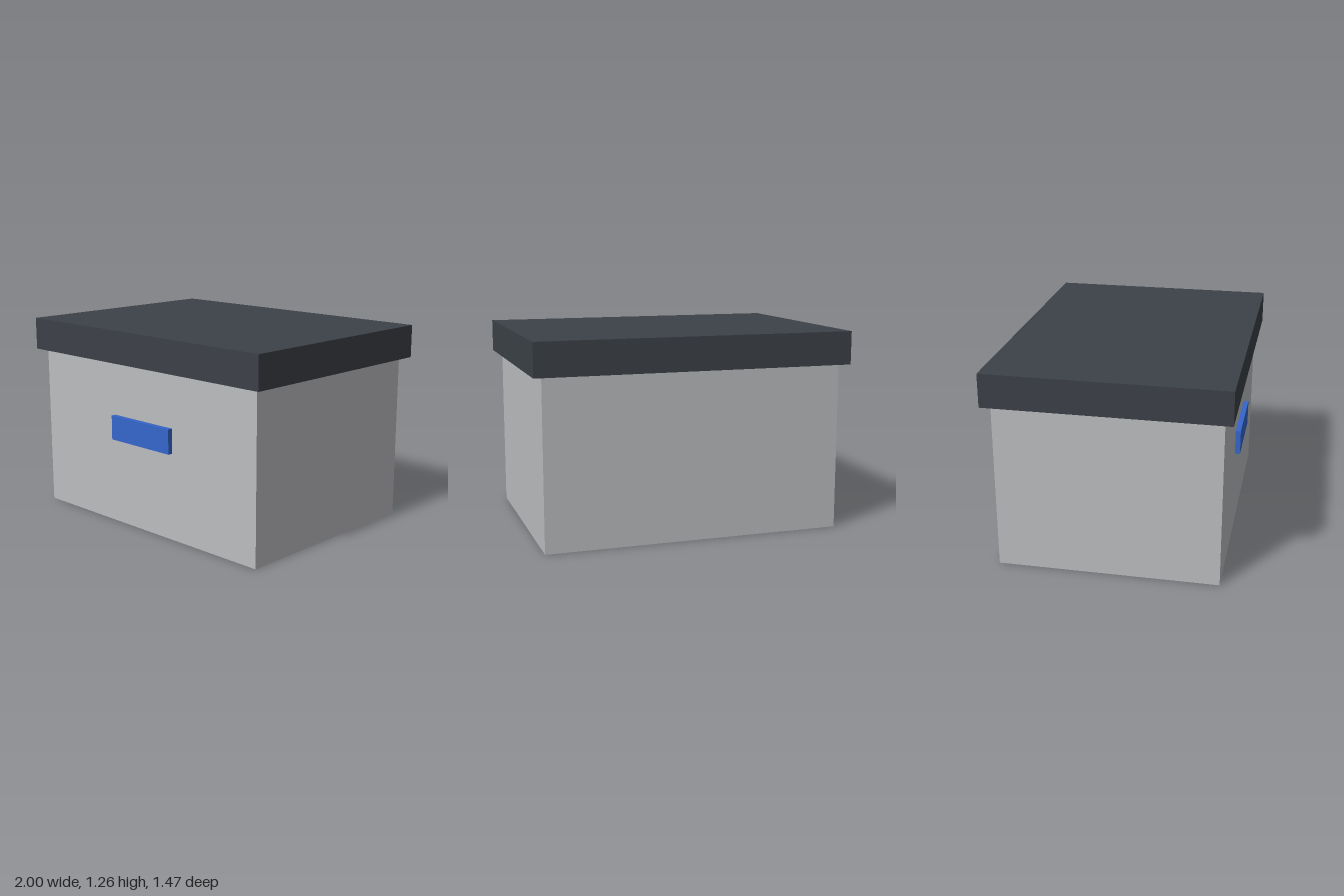
import * as THREE from 'three';

const makeMaterial = (name, color) => {
  const material = new THREE.MeshStandardMaterial({ color });
  material.name = name;
  return material;
};

export function createModel() {
  const lightGrey = makeMaterial('lightGrey', 0xbcbdc0);
  const charcoal = makeMaterial('charcoal', 0x3c4148);
  const blue = makeMaterial('blue', 0x3566cc);

  const model = new THREE.Group();
  model.name = 'storageBox';

  // Adds a block standing on height y, centred on depth z
  const addBlock = (name, material, [w, h, d], y, z = 0) => {
    const mesh = new THREE.Mesh(new THREE.BoxGeometry(w, h, d), material);
    mesh.name = name;
    mesh.position.set(0, y + h / 2, z);
    model.add(mesh);
  };

  // Box body, meeting the underside of the lid
  addBlock('body', lightGrey, [1.89, 1.057, 1.37], 0);

  // Overhanging lid
  addBlock('lid', charcoal, [2, 0.208, 1.473], 1.057);

  // Front label plate
  addBlock('frontHandle', blue, [0.522, 0.157, 0.032], 0.555, 0.701);

  return model;
}
